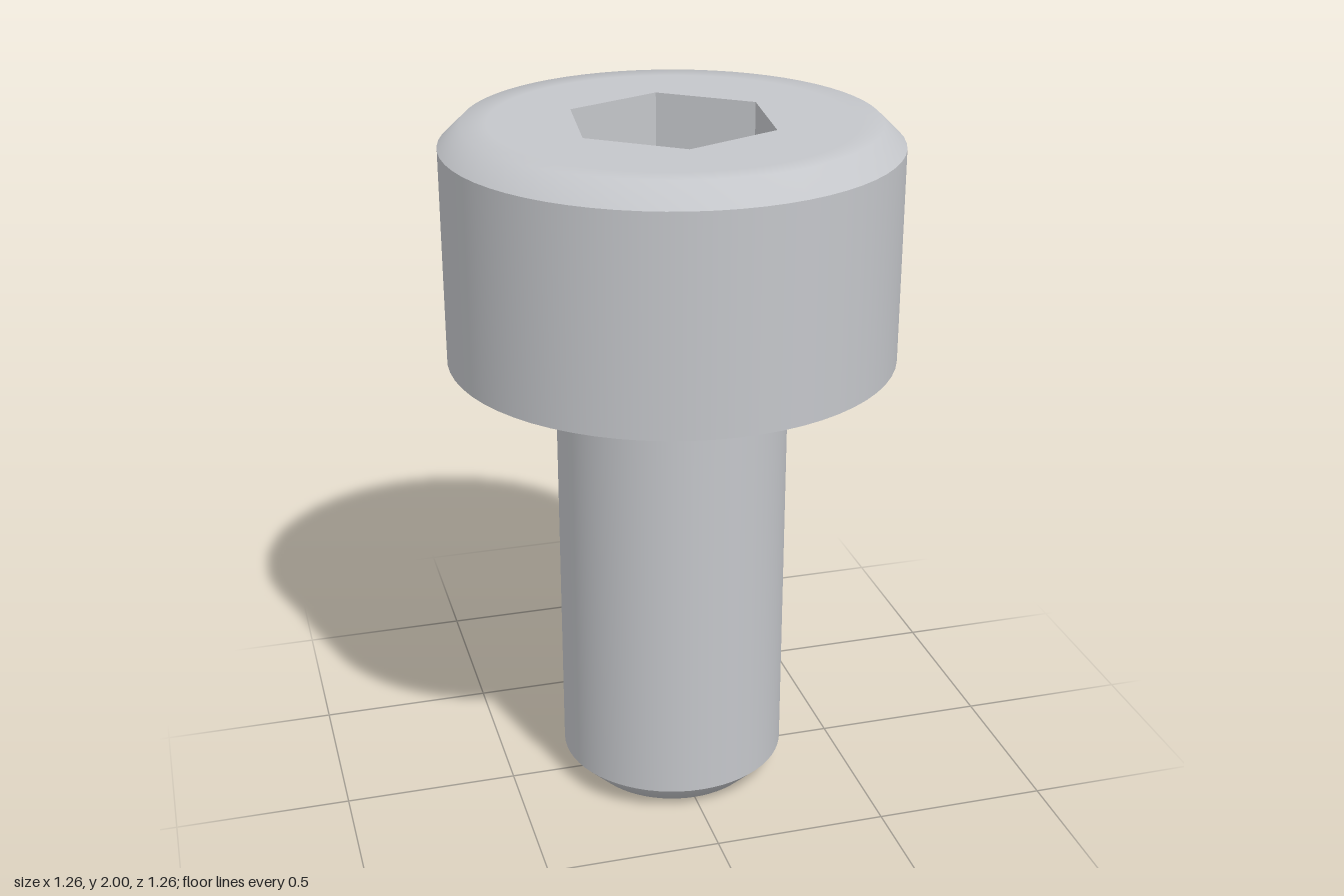
import * as THREE from 'three';

export function createModel() {
  const model = new THREE.Group();
  const steel = new THREE.MeshStandardMaterial({ color: 0xc4c6ca });
  steel.name = 'steel grey';

  const SEGMENTS = 64;
  const HEX_RADIUS = 0.298;
  const HEX_TURN = -0.117;

  const add = (parent, name, geometry) => {
    const mesh = new THREE.Mesh(geometry, steel);
    mesh.name = name;
    parent.add(mesh);
  };
  const group = (name) => {
    const g = new THREE.Group();
    g.name = name;
    model.add(g);
    return g;
  };
  // Surface of revolution from [radius, height] pairs, listed so it faces outward
  const lathe = (points, segments = SEGMENTS, start = 0) =>
    new THREE.LatheGeometry(points.map(([r, y]) => new THREE.Vector2(r, y)), segments, start);

  // Shank: softly shaded tip, straight body, fillet under the head
  const shank = group('shank');
  add(shank, 'shankTip', lathe([[0, 0], [0.255, 0], [0.33, 0.075]]));
  add(shank, 'shankBody', lathe([[0.33, 0.075], [0.33, 1.305]]));
  const fillet = [];
  for (let i = 0; i <= 5; i++) {
    const a = (i / 5) * Math.PI / 2;
    fillet.push([0.36 - 0.03 * Math.cos(a), 1.305 + 0.03 * Math.sin(a)]);
  }
  add(shank, 'shankFillet', lathe(fillet));

  // Head: flat underside, straight side, chamfer blending into the top
  const head = group('head');
  add(head, 'headUnderside', lathe([[0.36, 1.335], [0.632, 1.335]]));
  add(head, 'headSide', lathe([[0.632, 1.335], [0.632, 1.94]]));
  add(head, 'headChamfer', lathe([[0.632, 1.94], [0.57, 2], [0.5, 2]]));

  // Flat top with the hexagonal opening
  const circle = (radius, count, turn) => Array.from({ length: count }, (_, i) => {
    const a = turn + (i / count) * Math.PI * 2;
    return new THREE.Vector2(radius * Math.sin(a), -radius * Math.cos(a));
  });
  const top = new THREE.Shape(circle(0.5, SEGMENTS, 0));
  top.holes.push(new THREE.Path(circle(HEX_RADIUS, 6, HEX_TURN)));
  add(head, 'headTop', new THREE.ShapeGeometry(top).rotateX(-Math.PI / 2).translate(0, 2, 0));

  // Hex socket: flat walls running into a conical floor
  const socket = group('hexSocket');
  const walls = lathe([[HEX_RADIUS, 2], [HEX_RADIUS, 1.81]], 6, HEX_TURN).toNonIndexed();
  walls.computeVertexNormals();
  add(socket, 'socketWalls', walls);
  add(socket, 'socketFloor', lathe([[HEX_RADIUS, 1.84], [0, 1.68]]));

  return model;
}
